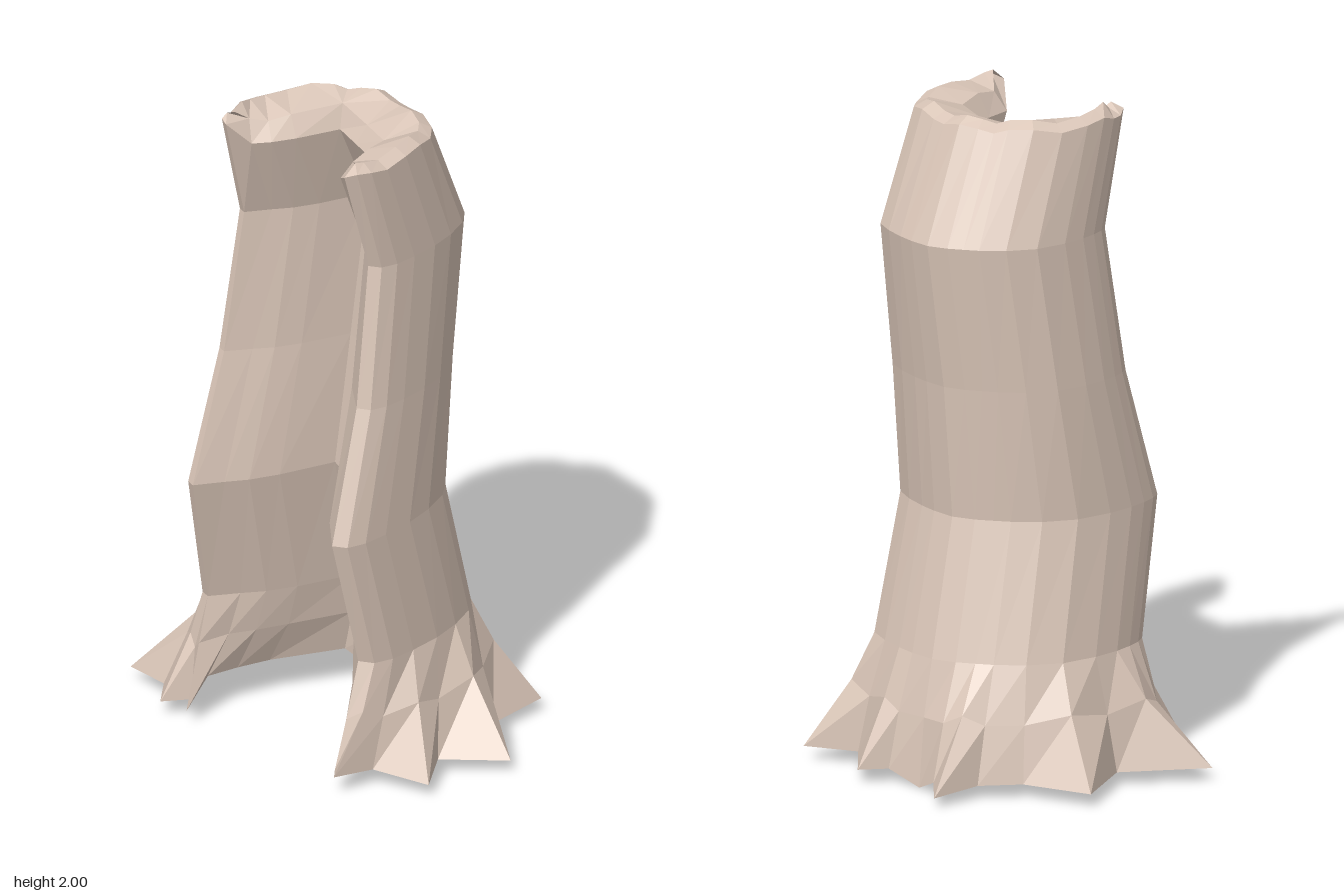
import * as THREE from 'three';

// Wall outline as a C open to the front: u = -1..1 across, v = 0 (back) .. 1 (front).
const OUTER = [[-.82, .92], [-.9, .9], [-.95, .84], [-.98, .76], [-1, .66], [-.99, .52], [-.92, .34], [-.75, .2],
  [-.55, .11], [-.42, .07], [-.28, .03], [-.08, 0], [.15, .02], [.33, .05], [.55, .1], [.76, .17],
  [.88, .27], [.96, .42], [1, .58], [1, .75], [.98, .88], [.92, .97], [.8, 1]];
const INNER = [[.5, .82], [.47, .64], [.44, .5], [.12, .41], [-.2, .32], [-.4, .58], [-.53, .71], [-.66, .8]];
const OUTLINE = [...OUTER, ...INNER];
const N = OUTER.length;

// Foot of the outer wall: x, z, y for each outline point, alternating root tips and valleys
const FOOT = [[-.3, .41, .05], [-.34, .34, .05], [-.4, .41, .05], [-.47, .31, .05], [-.63, .27, .04], [-.45, .05, .04],
  [-.55, -.18, .04], [-.33, -.23, .04], [-.24, -.33, .04], [-.21, -.49, .03], [-.12, -.39, .04], [-.03, -.35, 0],
  [.08, -.36, .04], [.14, -.43, .04], [.27, -.28, .04], [.43, -.34, .04], [.43, -.12, .04], [.63, .04, .04],
  [.46, .17, .04], [.55, .32, .04], [.37, .36, .05], [.33, .49, .06], [.3, .45, .06]];
const INNER_FOOT = [[.26, .33], [.26, .2], [.24, .08], [.08, -.03], [-.12, -.1], [-.24, .1], [-.28, .2], [-.31, .3]];
const TIPS = new Set([0, 2, 4, 6, 9, 13, 15, 17, 19, 21]);

// Trunk levels: y, left x, right x, back z, front z
const LEVELS = [
  [.38, -.38, .382, -.293, .35],
  [.79, -.345, .365, -.19, .455],
  [1.19, -.32, .35, -.22, .33],
  [1.63, -.29, .34, -.28, .27],
  [1.96, -.27, .33, -.13, .37],
];

function ring([y, x0, x1, z0, z1]) {
  return OUTLINE.map(([u, v]) => new THREE.Vector3(
    (x0 + x1) / 2 + u * (x1 - x0) / 2, y, z0 + v * (z1 - z0)));
}

// Move each point of a ring towards the middle of the wall
function inset(points, amount) {
  const n = points.length;
  return points.map((p, i) => {
    const d = points[(i + 1) % n].clone().sub(points[(i + n - 1) % n]).setY(0).normalize();
    return new THREE.Vector3(p.x - d.z * amount, p.y, p.z + d.x * amount);
  });
}

function createRings() {
  const foot = [...FOOT.map(([x, z, y]) => new THREE.Vector3(x, y, z)),
    ...INNER_FOOT.map(([x, z]) => new THREE.Vector3(x, .12, z))];

  // Root shoulders, part way between the trunk and the root tips
  const shoulder = ring([.22, -.39, .39, -.31, .36]);
  shoulder.forEach((p, i) => {
    p.lerp(foot[i], i >= N ? .3 : TIPS.has(i) ? .28 : .5);
    p.y = i >= N ? .25 : TIPS.has(i) ? .24 : .21;
  });

  const trunk = LEVELS.map(ring);

  // Uneven broken rim: high outer crest, falling towards the hollow
  const top = trunk[trunk.length - 1];
  const crest = inset(top, .038);
  top.forEach((p, i) => {
    const wave = .009 * Math.sin(i * 1.9);
    p.y = i < N ? 1.96 + wave : 1.89;
    crest[i].y = i < N ? 1.98 + wave : 1.95 + wave;
  });
  crest[3].y = 2;
  return [foot, shoulder, ...trunk, crest];
}

function createTrunkGeometry() {
  const rings = createRings();
  const n = OUTLINE.length;
  const index = [];

  // Walls between neighbouring rings
  for (let r = 0; r < rings.length - 1; r++) {
    for (let i = 0; i < n; i++) {
      const a = r * n + i, b = r * n + (i + 1) % n;
      index.push(a, a + n, b, b, a + n, b + n);
    }
  }

  // Underside and rim: a strip from outer to inner edge, stepping along the shorter diagonal
  const cap = (r, up) => {
    const p = rings[r];
    let i = 0, j = n - 1;
    while (i < N - 1 || j > N) {
      const stepOuter = j === N || (i < N - 1 && p[i + 1].distanceTo(p[j]) < p[i].distanceTo(p[j - 1]));
      const [a, b, c] = stepOuter ? [i, i + 1, j] : [i, j - 1, j];
      index.push(...(up ? [a, c, b] : [a, b, c]).map((k) => r * n + k));
      if (stepOuter) i++;
      else j--;
    }
  };
  cap(0, false);
  cap(rings.length - 1, true);

  const indexed = new THREE.BufferGeometry().setFromPoints(rings.flat());
  indexed.setIndex(index);
  const geometry = indexed.toNonIndexed();
  geometry.computeVertexNormals();
  return geometry;
}

export function createModel() {
  const group = new THREE.Group();
  group.name = 'hollowTreeStump';
  const bark = new THREE.MeshStandardMaterial({ color: 0xdac6b8, flatShading: true });
  const trunk = new THREE.Mesh(createTrunkGeometry(), bark);
  trunk.name = 'hollowTrunkWithRoots';
  group.add(trunk);
  return group;
}
